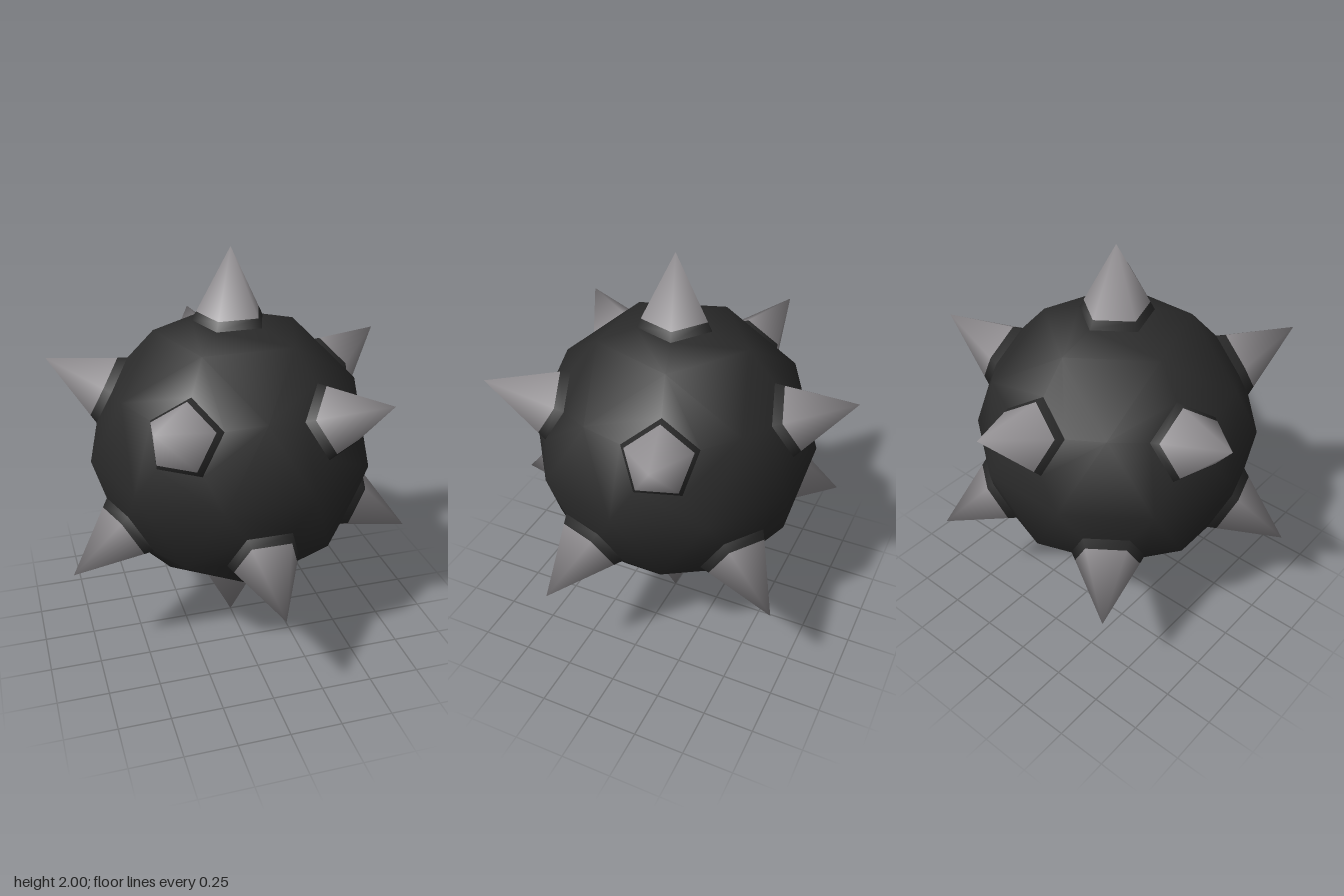
import * as THREE from 'three';

const RADIUS = 0.7;    // ball
const TIP = 1;         // spike tip distance from the centre
const BAND = 0.12;     // share of a spike that keeps the ball's colour

// The twelve corners of an icosahedron standing on one corner
function icosahedronCorners() {
  const corners = [new THREE.Vector3(0, 1, 0), new THREE.Vector3(0, -1, 0)];
  const h = 1 / Math.sqrt(5);
  for (let i = 0; i < 5; i++) {
    const a = (i * Math.PI * 2) / 5;
    const x = Math.sin(a) * 2 * h, z = Math.cos(a) * 2 * h;
    corners.push(new THREE.Vector3(x, -h, z), new THREE.Vector3(-x, h, -z));
  }
  return corners;
}

const near = (a, b) => a !== b && a.dot(b) > 0.4;
const middle = (a, b) => a.clone().add(b).normalize().multiplyScalar(RADIUS);
// Corner of a spike's foot: halfway from a to the middle of edge ab
const foot = (a, b) => a.clone().multiplyScalar(RADIUS).lerp(middle(a, b), 0.5);

function makeGeometry(points, normals) {
  const g = new THREE.BufferGeometry().setFromPoints(points);
  g.setAttribute('normal', new THREE.Float32BufferAttribute(normals.flatMap((n) => n.toArray()), 3));
  return g;
}

// Ball: each icosahedron face split in four, with its corners cut off for the spikes
function ballGeometry(corners) {
  const points = [];
  const quad = (a, b, c, d) => points.push(a, b, c, a, c, d);
  const n = corners.length;
  for (let i = 0; i < n; i++) for (let j = i + 1; j < n; j++) for (let k = j + 1; k < n; k++) {
    let [a, b, c] = [corners[i], corners[j], corners[k]];
    if (!near(a, b) || !near(b, c) || !near(c, a)) continue;
    if (a.clone().cross(b).dot(c) < 0) [b, c] = [c, b];
    points.push(middle(a, b), middle(b, c), middle(c, a));
    for (const [p, q, r] of [[a, b, c], [b, c, a], [c, a, b]]) {
      quad(foot(p, q), middle(p, q), middle(p, r), foot(p, r));
    }
  }
  return makeGeometry(points, points.map((p) => p.clone().normalize()));
}

// Five-sided spike with smooth normals; group 0 is the foot band, group 1 the point
function spikeGeometry(axis, corners) {
  const side = new THREE.Vector3(axis.y, axis.z, axis.x).cross(axis).normalize();
  if (side.lengthSq() < 0.5) side.set(1, 0, 0);
  const up = axis.clone().cross(side);
  const angle = (p) => Math.atan2(p.dot(up), p.dot(side));
  const feet = corners.filter((c) => near(axis, c))
    .sort((a, b) => angle(a) - angle(b)).map((c) => foot(axis, c));
  const tip = axis.clone().multiplyScalar(TIP);
  const points = [], normals = [];
  for (const t of [0, BAND]) {
    for (const f of feet) {
      const height = TIP - f.dot(axis);
      const out = f.clone().addScaledVector(axis, -f.dot(axis));
      const normal = out.clone().normalize().multiplyScalar(height).addScaledVector(axis, out.length()).normalize();
      points.push(f.clone().lerp(tip, t));
      normals.push(normal.lerp(axis, t).normalize());
    }
  }
  points.push(tip);
  normals.push(axis.clone());
  const index = [];
  for (let i = 0; i < 5; i++) {
    const j = (i + 1) % 5;
    index.push(i, j, j + 5, i, j + 5, i + 5);
  }
  for (let i = 0; i < 5; i++) index.push(i + 5, ((i + 1) % 5) + 5, 10);
  const g = makeGeometry(points, normals);
  g.setIndex(index);
  g.addGroup(0, 30, 0);
  g.addGroup(30, 15, 1);
  return g;
}

export function createModel() {
  const black = new THREE.MeshStandardMaterial({ color: 0x2b2b2b });
  black.name = 'black';
  const grey = new THREE.MeshStandardMaterial({ color: 0x939093 });
  grey.name = 'grey';

  const model = new THREE.Group();
  model.name = 'spikedBall';
  const corners = icosahedronCorners();

  const ball = new THREE.Mesh(ballGeometry(corners), black);
  ball.name = 'ball';
  model.add(ball);

  corners.forEach((axis, i) => {
    const spike = new THREE.Mesh(spikeGeometry(axis, corners), [black, grey]);
    spike.name = 'spike' + (i + 1);
    model.add(spike);
  });

  // Stand the lowest spike on the ground
  model.children.forEach((part) => { part.position.y = TIP; });
  return model;
}
